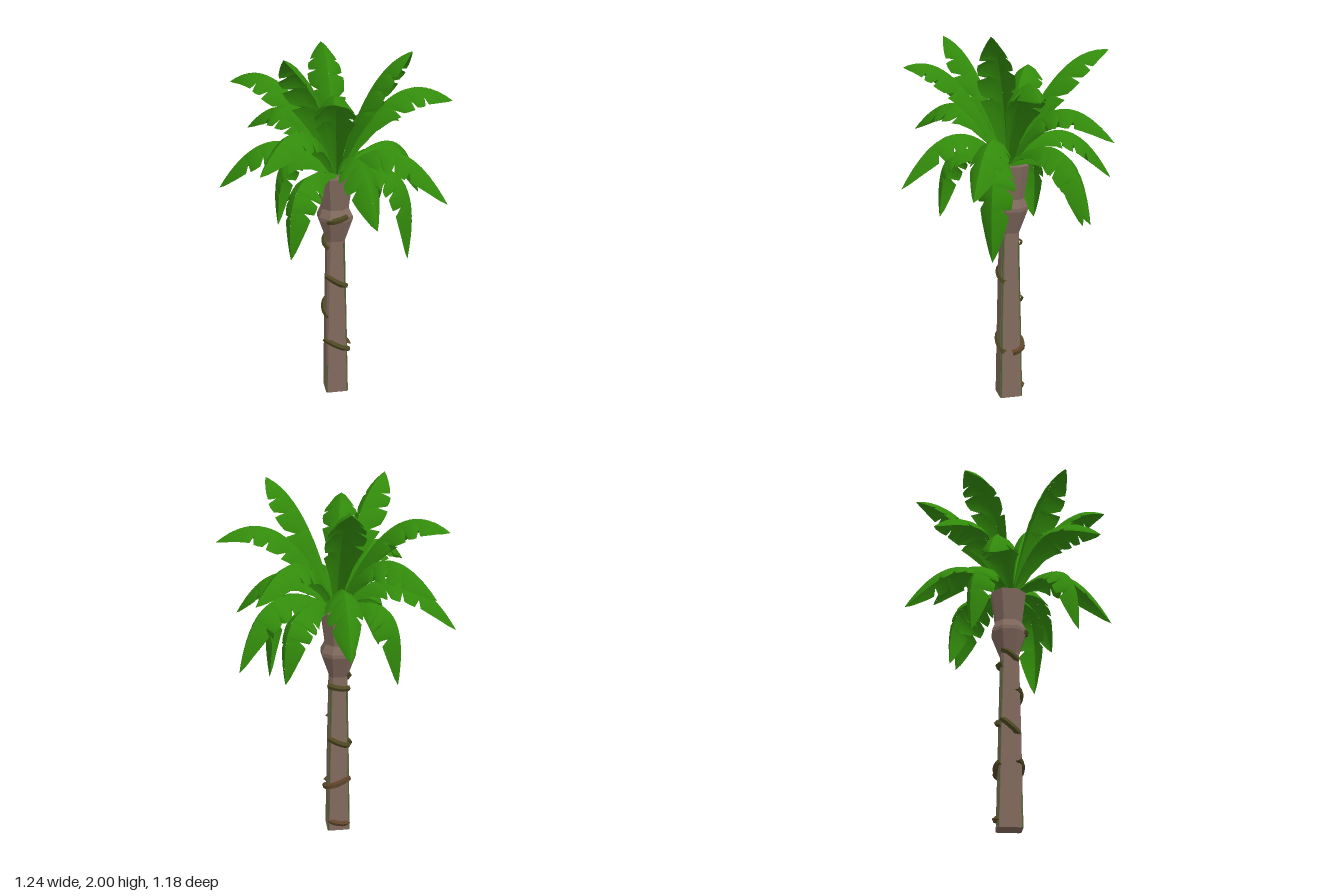
import * as THREE from 'three';

const leafGreen = new THREE.MeshStandardMaterial({ color: 0x328b0b, side: THREE.DoubleSide });
leafGreen.name = 'leaf green';
const barkBrown = new THREE.MeshStandardMaterial({ color: 0x826a5e, flatShading: true });
barkBrown.name = 'bark brown';
const vineOlive = new THREE.MeshStandardMaterial({ color: 0x4d4822, flatShading: true });
vineOlive.name = 'vine olive';
const vineBrown = new THREE.MeshStandardMaterial({ color: 0x5e452a, flatShading: true });
vineBrown.name = 'vine brown';
const stemGreen = new THREE.MeshStandardMaterial({ color: 0x4c6a30, flatShading: true });
stemGreen.name = 'stem green';

function geometryFrom(positions, index) {
  const g = new THREE.BufferGeometry();
  g.setAttribute('position', new THREE.Float32BufferAttribute(positions, 3));
  g.setIndex(index);
  g.computeVertexNormals();
  return g;
}

// Trunk: chamfered square rings [y, half width, chamfer, centre x, centre z]
const trunkRings = [
  [0, 0.065, 0.15, -0.006, -0.007],
  [0.5, 0.057, 0.2, -0.007, -0.007],
  [0.95, 0.049, 0.35, -0.008, -0.008],
  [1.075, 0.092, 0.55, -0.008, -0.012],
  [1.095, 0.092, 0.55, -0.008, -0.012],
  [1.14, 0.072, 0.55, -0.009, -0.013],
  [1.32, 0.096, 0.55, -0.01, -0.015],
];

function trunkGeometry() {
  const pos = [], index = [], n = 8;
  for (const [y, h, c, cx, cz] of trunkRings) {
    const k = h * (1 - c);
    for (const [x, z] of [[h, -k], [h, k], [k, h], [-k, h], [-h, k], [-h, -k], [-k, -h], [k, -h]]) {
      pos.push(cx + x, y, cz + z);
    }
  }
  for (let r = 0; r < trunkRings.length - 1; r++) {
    for (let i = 0; i < n; i++) {
      const a = r * n + i, b = r * n + (i + 1) % n;
      index.push(a, a + n, b + n, a, b + n, b);
    }
  }
  // End caps
  const top = (trunkRings.length - 1) * n;
  for (let i = 1; i < n - 1; i++) {
    index.push(0, i, i + 1, top, top + i + 1, top + i);
  }
  return geometryFrom(pos, index);
}

// Frond outline: [position along the rib, half width], with three torn notches per side
const outline = [
  [0, 0.026], [0.1, 0.044], [0.2, 0.072], [0.28, 0.098], [0.35, 0.118],
  [0.37, 0.07], [0.4, 0.112], [0.46, 0.12], [0.52, 0.12],
  [0.54, 0.07], [0.57, 0.11], [0.63, 0.11], [0.68, 0.103],
  [0.7, 0.058], [0.73, 0.09], [0.8, 0.076], [0.88, 0.052], [0.95, 0.026], [1, 0],
];

// Half a frond, folded down from the rib
function halfFrond(curve, side, sideDir, shift) {
  const pos = [], index = [];
  const place = (t, across, drop) => {
    const T = curve.getTangent(t), N = sideDir.clone().cross(T);
    const p = curve.getPoint(t).addScaledVector(sideDir, across * side).addScaledVector(N, -drop);
    pos.push(p.x, p.y, p.z);
  };
  outline.forEach(([t0, w], i) => {
    const t = t0 + shift * Math.sin(Math.PI * t0);
    const sweep = (f) => Math.min(1, t + 0.6 * w * f);
    place(t, 0, 0);
    place(sweep(0.5), w * 0.45, w * 0.27);
    place(sweep(1), w * 0.82, w * 0.77);
    if (i === 0) return;
    const a = (i - 1) * 3, b = i * 3;
    for (let k = 0; k < 2; k++) {
      const quad = [a + k, a + k + 1, b + k + 1, b + k];
      if (side < 0) quad.reverse();
      index.push(quad[0], quad[1], quad[2], quad[0], quad[2], quad[3]);
    }
  });
  return geometryFrom(pos, index);
}

// Fronds: [tip x, tip y, tip z, bend reach as a share of tip reach, bend height]
const fronds = [
  // upright
  [0.35, 2.0, 0.17, 0.4, 1.92], [-0.30, 2.0, 0.29, 0.4, 1.92], [0, 1.93, -0.56, 0.45, 1.96],
  // raised
  [0.62, 1.70, 0, 0.45, 1.97], [-0.10, 1.84, 0.54, 0.5, 1.97], [-0.53, 1.78, -0.29, 0.48, 2.01],
  // spreading
  [0.44, 1.48, -0.44, 0.45, 1.86], [-0.44, 1.48, -0.44, 0.45, 1.86], [-0.44, 1.48, 0.44, 0.45, 1.86],
  // arching
  [0, 1.23, -0.59, 0.54, 1.72], [-0.62, 1.23, -0.16, 0.54, 1.72],
  [0.10, 1.23, 0.59, 0.54, 1.72], [0.53, 1.23, 0.30, 0.54, 1.7],
  // drooping
  [0.53, 1.09, -0.29, 0.8, 1.66], [0.36, 0.88, 0.17, 1.25, 1.56],
  [-0.29, 0.99, 0.33, 1.12, 1.55], [-0.30, 0.96, -0.23, 1.22, 1.55], [0.30, 1.03, -0.33, 1.1, 1.55],
];

function makeFrond([x, y, z, reach, height], i) {
  const frond = new THREE.Group();
  frond.name = 'frond';
  const dir = new THREE.Vector3(x, 0, z).normalize();
  const sideDir = new THREE.Vector3(-dir.z, 0, dir.x);
  const curve = new THREE.QuadraticBezierCurve3(
    new THREE.Vector3(dir.x * 0.01, 1.33, dir.z * 0.01),
    new THREE.Vector3(x * reach, height, z * reach),
    new THREE.Vector3(x, y, z));
  for (const side of [-1, 1]) {
    const shift = side * (i % 2 ? 0.03 : -0.03);
    const half = new THREE.Mesh(halfFrond(curve, side, sideDir, shift), leafGreen);
    half.name = side > 0 ? 'frondRightHalf' : 'frondLeftHalf';
    frond.add(half);
  }
  return frond;
}

// Vine pieces: [heading around the trunk, height, distance from axis, half length, slope, material]
const vines = [
  [0, 0.71, 0.053, 0.055, -0.035, vineOlive], [0, 0.31, 0.058, 0.07, -0.04, vineOlive],
  [0, 1.09, 0.086, 0.05, 0.012, vineOlive],
  [Math.PI, 0.89, 0.056, 0.055, -0.01, vineOlive], [Math.PI, 0.56, 0.061, 0.055, -0.025, vineOlive],
  [Math.PI, 0.31, 0.068, 0.06, 0.025, vineBrown], [Math.PI, 0.05, 0.068, 0.055, -0.01, vineBrown],
  [-Math.PI / 2, 0.94, 0.056, 0.04, -0.03, vineOlive], [-Math.PI / 2, 0.53, 0.061, 0.045, -0.04, vineOlive],
  [Math.PI * 0.72, 0.285, 0.078, 0.045, 0.015, vineBrown],
];

function makeVine([heading, y, dist, half, slope, material]) {
  const curve = new THREE.CatmullRomCurve3([
    new THREE.Vector3(-half, -slope, dist - 0.02),
    new THREE.Vector3(-half * 0.5, -slope * 0.5, dist),
    new THREE.Vector3(half * 0.5, slope * 0.5, dist),
    new THREE.Vector3(half, slope, dist - 0.02),
  ]);
  const vine = new THREE.Mesh(new THREE.TubeGeometry(curve, 6, 0.017, 5), material);
  vine.name = 'vine';
  vine.position.set(-0.007, y, -0.007);
  vine.rotation.y = heading;
  return vine;
}

export function createModel() {
  const palm = new THREE.Group();
  palm.name = 'palmTree';
  const trunk = new THREE.Mesh(trunkGeometry(), barkBrown);
  trunk.name = 'trunk';
  palm.add(trunk);

  // Thin green stems climbing the trunk corners
  for (const [sx, sz, top] of [[1, 1, 0.94], [-1, 1, 0.72], [-1, -1, 0.9], [1, -1, 0.9]]) {
    const path = new THREE.LineCurve3(
      new THREE.Vector3(-0.006 + sx * 0.058, 0, -0.007 + sz * 0.058),
      new THREE.Vector3(-0.008 + sx * 0.042, top, -0.008 + sz * 0.042));
    const stem = new THREE.Mesh(new THREE.TubeGeometry(path, 1, 0.006, 4), stemGreen);
    stem.name = 'climbingStem';
    palm.add(stem);
  }
  vines.forEach((v) => palm.add(makeVine(v)));

  const crown = new THREE.Group();
  crown.name = 'crown';
  fronds.forEach((f, i) => crown.add(makeFrond(f, i)));
  palm.add(crown);
  return palm;
}
